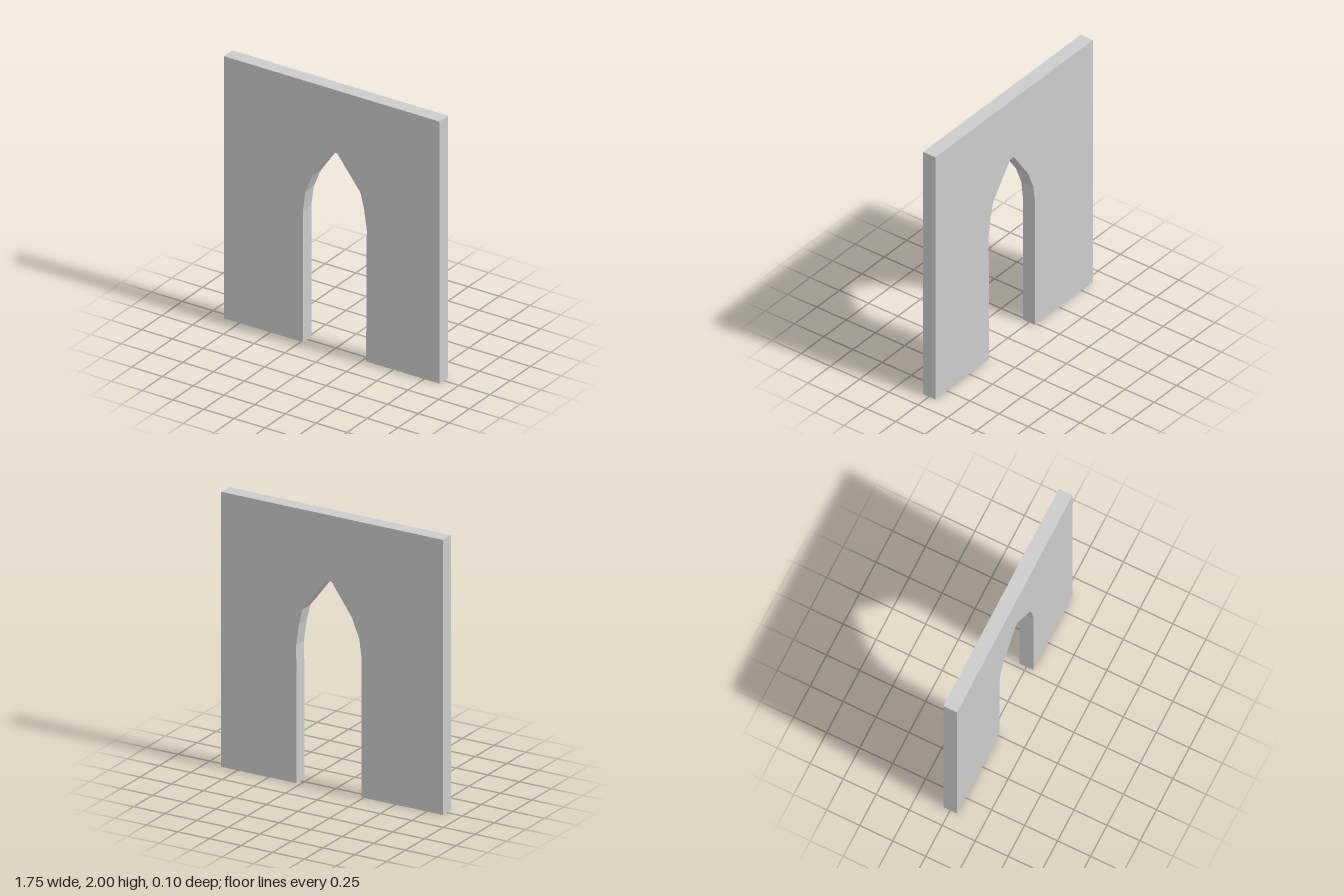
import * as THREE from 'three';

export function createModel() {
  const group = new THREE.Group();
  const halfWidth = 0.877, height = 2, depth = 0.104;

  // Pointed doorway outline, from the right jamb's foot over the apex to the left jamb's foot
  const archway = [
    [-0.235, 0], [-0.235, 1.0], [-0.215, 1.15], [-0.158, 1.29], [0.003, 1.52],
    [0.045, 1.52], [0.234, 1.273], [0.262, 1.16], [0.285, 1.0], [0.281, 0.8], [0.28, 0],
  ];

  // Wall slab, open at the bottom where the doorway meets the ground
  const outline = [
    ...archway, [halfWidth, 0], [halfWidth, height], [-halfWidth, height], [-halfWidth, 0],
  ].map(([x, y]) => new THREE.Vector2(x, y));

  const geometry = new THREE.ExtrudeGeometry(new THREE.Shape(outline), { depth, bevelEnabled: false });
  geometry.translate(0, 0, -depth / 2);

  const wall = new THREE.Mesh(
    geometry,
    new THREE.MeshStandardMaterial({ color: 0xcccccc, flatShading: true }),
  );
  wall.name = 'archedWall';
  group.add(wall);
  return group;
}
